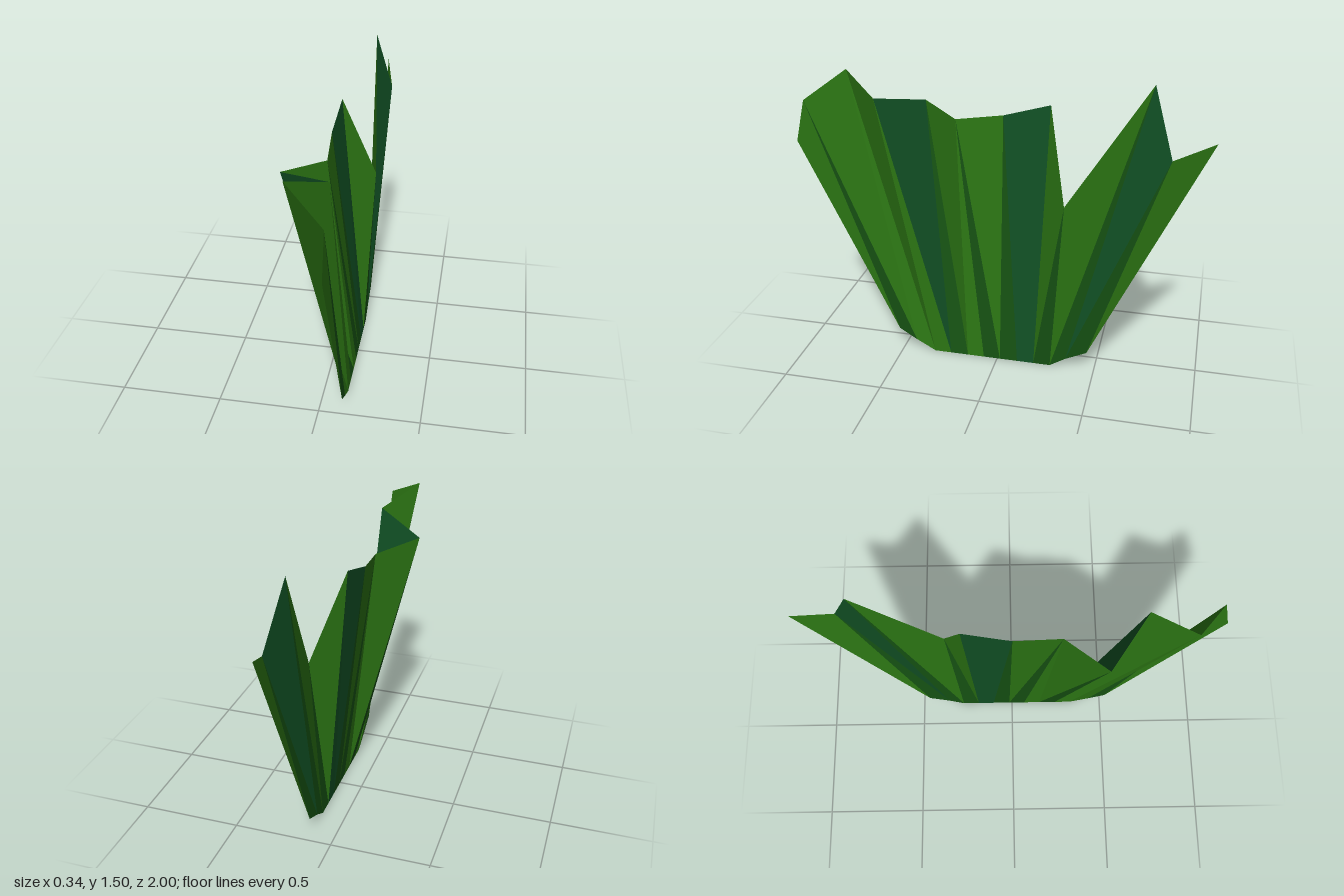
import * as THREE from 'three';

// Upper rim of the folded leaf sheet, front to back: [x, y, z]
const RIM = [
  [0.12, 1.11, 1.0], [0.12, 1.32, 0.95], [-0.07, 1.43, 0.8], [0.08, 1.34, 0.61],
  [-0.17, 1.27, 0.43], [0.0, 1.24, 0.23], [-0.02, 1.27, 0.0], [-0.01, 1.34, -0.23],
  [0.15, 0.9, -0.33], [0.09, 1.5, -0.71], [0.165, 1.18, -0.81], [0.12, 1.26, -1.0],
];

// Straight root line the pleats gather into: [y, z]
const ROOT = [
  [0.11, 0.52], [0.055, 0.43], [0, 0.33], [0, 0.245], [0, 0.155], [0, 0.07],
  [0, -0.015], [0, -0.105], [0, -0.19], [0, -0.275], [0.05, -0.355], [0.1, -0.46],
].map(([y, z]) => [0.12, y, z]);

// Shade of each pleat: wide upper face, then narrow lower face
const UPPER = 'AAACAACAACA';
const LOWER = 'BAABABBCBBB';
const SHADES = {
  A: ['brightLeafPleats', 0x2b7413],
  B: ['darkLeafPleats', 0x155012],
  C: ['blueGreenLeafPleats', 0x115024],
};
const MIDDLE = 5; // the diagonal of the pleats mirrors here

export function createModel() {
  const group = new THREE.Group();
  group.name = 'grassTuft';

  // Two triangles per pleat, sorted by shade
  const faces = { A: [], B: [], C: [] };
  for (let i = 0; i < RIM.length - 1; i++) {
    const [t0, t1, b0, b1] = [RIM[i], RIM[i + 1], ROOT[i], ROOT[i + 1]];
    const front = i < MIDDLE;
    faces[UPPER[i]].push(...t0, ...(front ? b0 : b1), ...t1);
    faces[LOWER[i]].push(...(front ? t1 : t0), ...b0, ...b1);
  }

  // One thin, double-sided mesh for each shade
  for (const [key, [name, color]] of Object.entries(SHADES)) {
    const geometry = new THREE.BufferGeometry();
    geometry.setAttribute('position', new THREE.Float32BufferAttribute(faces[key], 3));
    geometry.computeVertexNormals();
    const material = new THREE.MeshStandardMaterial({ color, flatShading: true, side: THREE.DoubleSide });
    const mesh = new THREE.Mesh(geometry, material);
    mesh.name = name;
    group.add(mesh);
  }
  return group;
}
